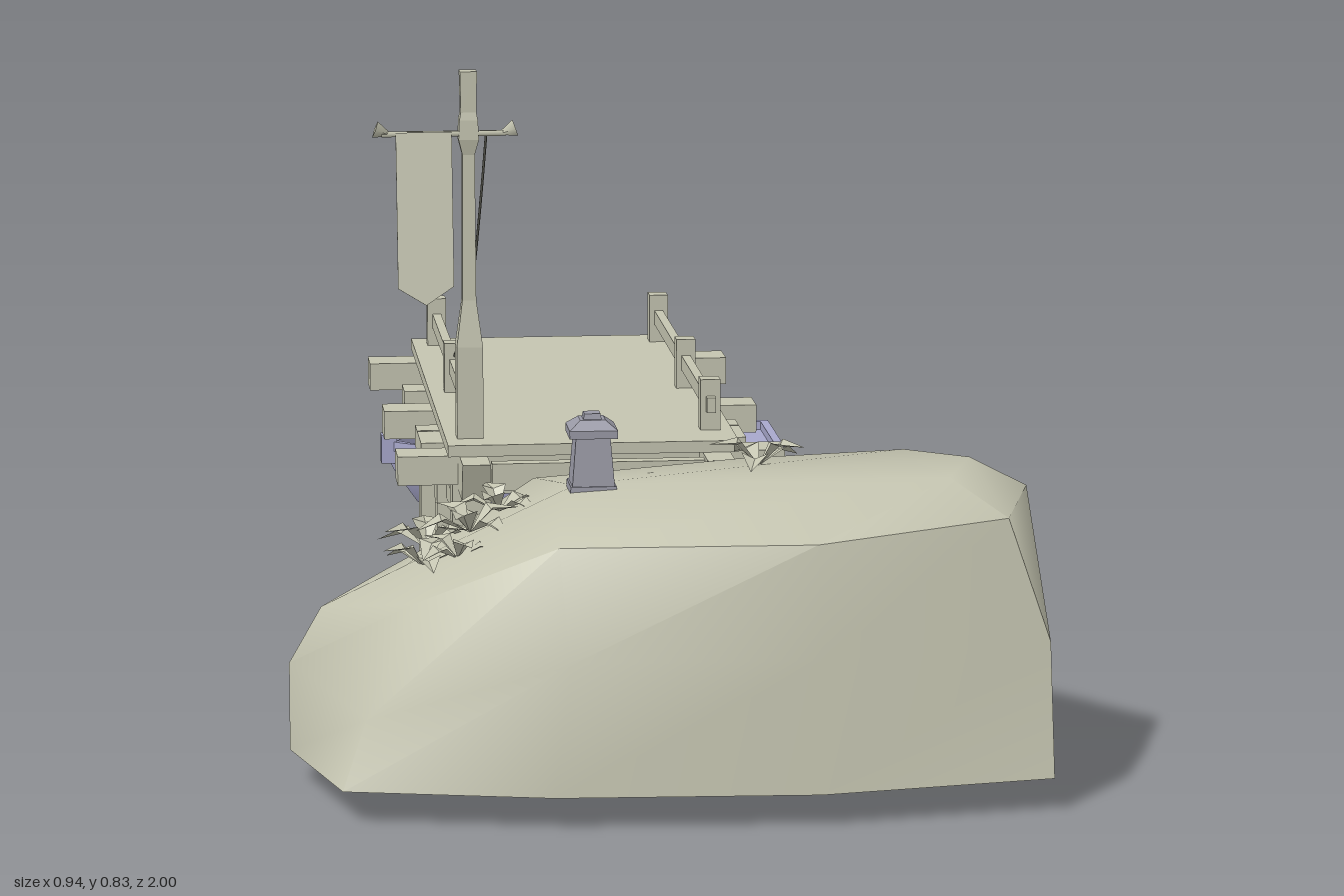
import * as THREE from 'three';
import { toCreasedNormals } from 'three/addons/utils/BufferGeometryUtils.js';

const V = (x, y, z) => new THREE.Vector3(x, y, z);
const mat = (color, side = THREE.FrontSide) => new THREE.MeshStandardMaterial({ color, side });
const stone = mat(0xc4c4b0), wood = mat(0xc4c4b0), cloth = mat(0xc4c4b0, THREE.DoubleSide);
const boatPaint = mat(0xa8a8cc), metal = mat(0x9a9aa6), ropeMat = mat(0x66665c);

function add(parent, name, geo, material) {
  const m = new THREE.Mesh(geo, material);
  m.name = name;
  parent.add(m);
  return m;
}
function group(parent, name) {
  const g = new THREE.Group();
  g.name = name;
  parent.add(g);
  return g;
}
// Box given by its limits on each axis
function box(parent, name, [x0, x1], [y0, y1], [z0, z1], material = wood) {
  const m = add(parent, name, new THREE.BoxGeometry(x1 - x0, y1 - y0, z1 - z0), material);
  m.position.set((x0 + x1) / 2, (y0 + y1) / 2, (z0 + z1) / 2);
  return m;
}
// Skin stacked rings of points (counterclockwise from above), optionally capped by fans
function loft(rings, bottom, top, crease) {
  const pos = [], tri = (...p) => p.forEach(v => pos.push(v.x, v.y, v.z));
  const n = rings[0].length, last = rings[rings.length - 1];
  for (let i = 0; i < n; i++) {
    const j = (i + 1) % n;
    for (let k = 0; k < rings.length - 1; k++) {
      const a = rings[k], b = rings[k + 1];
      tri(a[i], a[j], b[j]);
      tri(a[i], b[j], b[i]);
    }
    if (bottom) tri(rings[0][j], rings[0][i], bottom);
    if (top) tri(last[i], last[j], top);
  }
  const g = new THREE.BufferGeometry();
  g.setAttribute('position', new THREE.Float32BufferAttribute(pos, 3));
  return toCreasedNormals(g, crease);
}
// Horizontal slab from an [x, z] outline with an optional hole
function slab(outline, hole, y0, y1) {
  const pts = o => o.map(([x, z]) => new THREE.Vector2(x, -z));
  const s = new THREE.Shape(pts(outline));
  if (hole) s.holes.push(new THREE.Path(pts(hole)));
  return new THREE.ExtrudeGeometry(s, { depth: y1 - y0, bevelEnabled: false }).rotateX(-Math.PI / 2).translate(0, y0, 0);
}
function rope(parent, name, pts, r = 0.0025) {
  add(parent, name, new THREE.TubeGeometry(new THREE.CatmullRomCurve3(pts), 24, r, 5), ropeMat);
}

function buildRock(root) {
  const base = [[-.475, .04, .72], [-.42, .04, .93], [-.17, .04, .985], [.15, .04, 1], [.44, .04, .95],
    [.47, .04, .72], [.39, .01, .49], [.12, 0, .41], [-.2, 0, .4], [-.42, .02, .52]];
  const mid = [[-.475, .15, .72], [-.39, .12, .9], [-.15, .2, .975], [.15, .2, .98], [.44, .2, .91],
    [.44, .2, .72], [.385, .2, .51], [.11, .23, .44], [-.2, .21, .44], [-.4, .17, .54]];
  const shoulder = [[-.435, .22, .72], [-.33, .25, .85], [-.16, .335, .94], [.15, .335, .95], [.39, .35, .89],
    [.44, .355, .72], [.34, .34, .56], [.1, .31, .49], [-.2, .28, .48], [-.35, .23, .57]];
  const crown = [[-.33, .27, .72], [-.28, .285, .8], [-.15, .355, .85], [.15, .372, .85], [.33, .385, .81],
    [.37, .39, .71], [.3, .385, .63], [.1, .365, .57], [-.16, .345, .57], [-.28, .28, .62]];
  const rings = [base, mid, shoulder, crown].map(r => r.map(p => V(...p)));
  add(root, 'rock', loft(rings, V(0, .02, .7), V(-.12, .362, .7), 0.95), stone);
}

// Folded pointed leaf growing along +z and drooping at the tip
function leafGeometry() {
  const g = new THREE.BufferGeometry();
  g.setAttribute('position', new THREE.Float32BufferAttribute(
    [0, 0, 0, -.017, .026, .032, 0, .019, .034, .017, .026, .032, 0, .012, .068], 3));
  g.setIndex([0, 2, 1, 0, 3, 2, 1, 2, 4, 2, 3, 4]);
  const flat = g.toNonIndexed();
  flat.computeVertexNormals();
  return flat;
}
function buildPlants(root) {
  const leaf = leafGeometry();
  const rosettes = [[-.3, .275, .65, 6, 1], [-.25, .305, .7, 6, 1], [-.31, .272, .74, 5, .9],
    [-.21, .32, .65, 5, .9], [-.27, .288, .77, 5, .8], [.115, .372, .65, 5, 1]];
  rosettes.forEach(([x, y, z, n, s], k) => {
    const plant = group(root, 'plant');
    plant.position.set(x, y, z);
    plant.scale.setScalar(s);
    for (let i = 0; i < n; i++) {
      const l = add(plant, 'leaf', leaf, cloth);
      l.rotation.order = 'YXZ';
      l.rotation.set(i % 2 ? -.25 : .1, (i / n) * Math.PI * 2 + k * .7, 0);
    }
  });
}

function buildLantern(root) {
  const lantern = group(root, 'lantern');
  lantern.position.set(-.1, .355, .71);
  const tier = (name, r0, r1, y0, y1) => add(lantern, name,
    new THREE.CylinderGeometry(r1, r0, y1 - y0, 4).rotateY(Math.PI / 4).toNonIndexed().translate(0, (y0 + y1) / 2, 0), metal)
    .geometry.computeVertexNormals();
  tier('lanternBase', .041, .04, 0, .012);
  tier('lanternBody', .037, .03, .012, .072);
  tier('lanternEave', .042, .042, .072, .082);
  tier('lanternRoof', .042, .022, .082, .093);
  tier('lanternCap', .016, .014, .093, .1);
}

function buildDock(root) {
  const dock = group(root, 'dock');
  box(dock, 'deck', [-.255, .122], [.335, .35], [-.4, .38]);
  const crossZ = [-.35, .005, .315];
  for (const x of [-.222, .093]) {
    // Long beam with undercut ends
    const s = new THREE.Shape([[-.475, .335], [-.45, .285], [.415, .285], [.435, .335]].map(p => new THREE.Vector2(...p)));
    add(dock, 'longBeam', new THREE.ExtrudeGeometry(s, { depth: .036, bevelEnabled: false })
      .rotateY(-Math.PI / 2).translate(x + .018, 0, 0), wood);
    box(dock, 'lowerBeam', [x - .012, x + .012], [.208, .235], [-.37, .33]);
    for (const z of [-.17, .165]) box(dock, 'strut', [x - .014, x + .014], [.23, .29], [z - .018, z + .018]);
    crossZ.forEach((z, i) => {
      box(dock, 'pile', [x - .025, x + .025], [.02, .3], [z - .025, z + .025]);
      if (i) box(dock, 'pileFoot', [x - .03, x + .03], [.02, .155], [z - .042, z + .03]);
    });
    // Low handrail
    for (const z of [-.355, 0, .295]) box(dock, 'railPost', [x - .013, x + .013], [.34, .417], [z - .013, z + .013]);
    box(dock, 'handrail', [x - .006, x + .006], [.375, .395], [-.355, .32]);
  }
  for (const z of crossZ) box(dock, 'crossBeam', [-.318, .187], [.291, .329], [z - .028, z + .028]);
  for (const [z, w] of [[-.14, .025], [.145, .02], [.21, .04]])
    box(dock, 'joist', [-.282, .147], [.3, .328], [z - w, z + w]);
  for (const z of crossZ) box(dock, 'lowerCrossBar', [-.222, .093], [.21, .233], [z - .012, z + .012]);
  box(dock, 'endPlank', [-.2, .11], [.295, .335], [-.44, -.4]);
  box(dock, 'frontPlank', [-.2, .075], [.295, .33], [.385, .405]);
}

function buildMast(root) {
  const mast = group(root, 'mast');
  mast.position.set(-.223, 0, .318);
  // Square pole: half width at each height
  const profile = [[.29, .017], [.47, .017], [.53, .009], [.72, .008], [.74, .013], [.765, .012], [.775, .01], [.828, .011]];
  const rings = profile.map(([y, r]) => [V(-r, y, -r), V(-r, y, r), V(r, y, r), V(r, y, -r)]);
  add(mast, 'pole', loft(rings, V(0, .29, 0), V(0, .828, 0), .1), wood);
  const yard = add(mast, 'yard', new THREE.CylinderGeometry(.004, .004, .16, 6).rotateZ(Math.PI / 2), wood);
  yard.position.set(-.032, .748, .008);
  for (const [x, s] of [[-.1, 1], [.04, -1]]) {
    const tip = add(mast, 'yardTip', new THREE.ConeGeometry(.011, .026, 4).rotateZ(-s * Math.PI / 2), wood);
    tip.position.set(x - s * .008, .75, .008);
    tip.rotation.z = -s * .35;
  }
  // Hanging banner with pointed foot, swung slightly forward
  const s = new THREE.Shape([[-.036, 0], [-.036, -.2], [0, -.222], [.036, -.198], [.036, 0]].map(p => new THREE.Vector2(...p)));
  const flag = add(mast, 'banner', new THREE.ExtrudeGeometry(s, { depth: .003, bevelEnabled: false }), cloth);
  flag.position.set(-.058, .75, .01);
  flag.rotation.x = -.17;
  rope(root, 'mastRope', [V(-.2, .748, .322), V(-.203, .66, .27), V(-.207, .55, .19), V(-.212, .46, .1), V(-.222, .395, .005)], .0018);
}

function buildBoat(root) {
  const boat = group(root, 'boat');
  boat.position.z = -.605;
  const half = [[-.24, .035], [-.17, .075], [-.08, .104], [.02, .115], [.15, .114], [.295, .1]];
  // Outline from the bow round to the stern and back
  const outline = (k, x0 = 0, x1 = 0) => [[-.285 + x0, 0], ...half, ...half.slice().reverse().map(([x, w]) => [x, -w])]
    .map(([x, w], i) => [i ? Math.min(Math.max(x, -.285 + x0 + .03), .295 - x1) : x, w * k]);
  const ring = (y, ...a) => outline(...a).map(([x, z]) => V(x, y, z));
  add(boat, 'hull', loft([ring(.045, .66, .09, .02), ring(.07, .8, .05, .012), ring(.12, .94, .015, .004), ring(.152, 1)],
    V(.05, .045, 0), null, .7), boatPaint);
  add(boat, 'gunwale', slab(outline(1), outline(.92, .02, .012), .148, .162), boatPaint);
  const well = [[-.04, -.088], [-.04, .088], [.175, .088], [.203, .06], [.203, -.06], [.175, -.088]];
  add(boat, 'deck', slab(outline(.93, .018, .01), well, .11, .15), boatPaint);
  add(boat, 'wellWall', slab(well.map(([x, z]) => [x * 1.03, z * 1.03]), well, .075, .153), boatPaint);
  add(boat, 'floor', slab(well, null, .07, .08), boatPaint);
  for (const x of [.035, .12]) box(boat, 'bench', [x - .02, x + .02], [.122, .134], [-.088, .088], boatPaint);
  for (const z of [-.04, .04]) box(boat, 'floorSlat', [-.04, .2], [.08, .085], [z - .012, z + .012], boatPaint);
  box(boat, 'bowStem', [-.288, -.265], [.13, .172], [-.012, .012], boatPaint);
  box(boat, 'mooringPost', [-.182, -.164], [.14, .2], [-.009, .009], boatPaint);
  box(boat, 'mooringBar', [-.179, -.167], [.178, .186], [-.022, .022], boatPaint);
  for (const s of [-1, 1]) {
    box(boat, 'oarlock', [.155, .17], [.135, .175], [s * .115 - .006, s * .115 + .006], boatPaint);
  }
  // Oar laid along the far side
  add(boat, 'oarShaft', new THREE.CylinderGeometry(.003, .003, .34, 6).rotateZ(Math.PI / 2).translate(-.035, .15, -.122), boatPaint);
  box(boat, 'oarBlade', [.12, .22], [.135, .162], [-.124, -.119], boatPaint);
  rope(root, 'mooringRope', [V(-.222, .36, -.36), V(-.21, .35, -.4), V(-.185, .29, -.475), V(-.172, .23, -.55), V(-.173, .188, -.6)]);
}

function buildFish(root) {
  const body = new THREE.SphereGeometry(1, 8, 6).scale(.026, .013, .007);
  const tailShape = new THREE.Shape([[.02, 0], [.042, .014], [.037, 0], [.042, -.014]].map(p => new THREE.Vector2(...p)));
  const finShape = new THREE.Shape([[-.01, .01], [.004, .021], [.014, .008]].map(p => new THREE.Vector2(...p)));
  const tail = new THREE.ShapeGeometry(tailShape), fin = new THREE.ShapeGeometry(finShape);
  const paint = mat(0xa8a8cc, THREE.DoubleSide);
  const school = [[0, .165, -.988, 0, .5], [.05, .115, -.962, .25, -.6], [.14, .16, -.975, .3, .4],
    [.005, .1, -.914, Math.PI, .5], [.125, .07, -.925, -.4, -.5]];
  for (const [x, y, z, yaw, roll] of school) {
    const fish = group(root, 'fish');
    fish.position.set(x, y, z);
    fish.rotation.set(roll, yaw, .15);
    add(fish, 'fishBody', body, paint);
    add(fish, 'fishTail', tail, paint);
    add(fish, 'fishFin', fin, paint);
  }
}

export function createModel() {
  const root = new THREE.Group();
  root.name = 'fishingDock';
  [buildRock, buildPlants, buildLantern, buildDock, buildMast, buildBoat, buildFish].forEach(build => build(root));
  return root;
}
